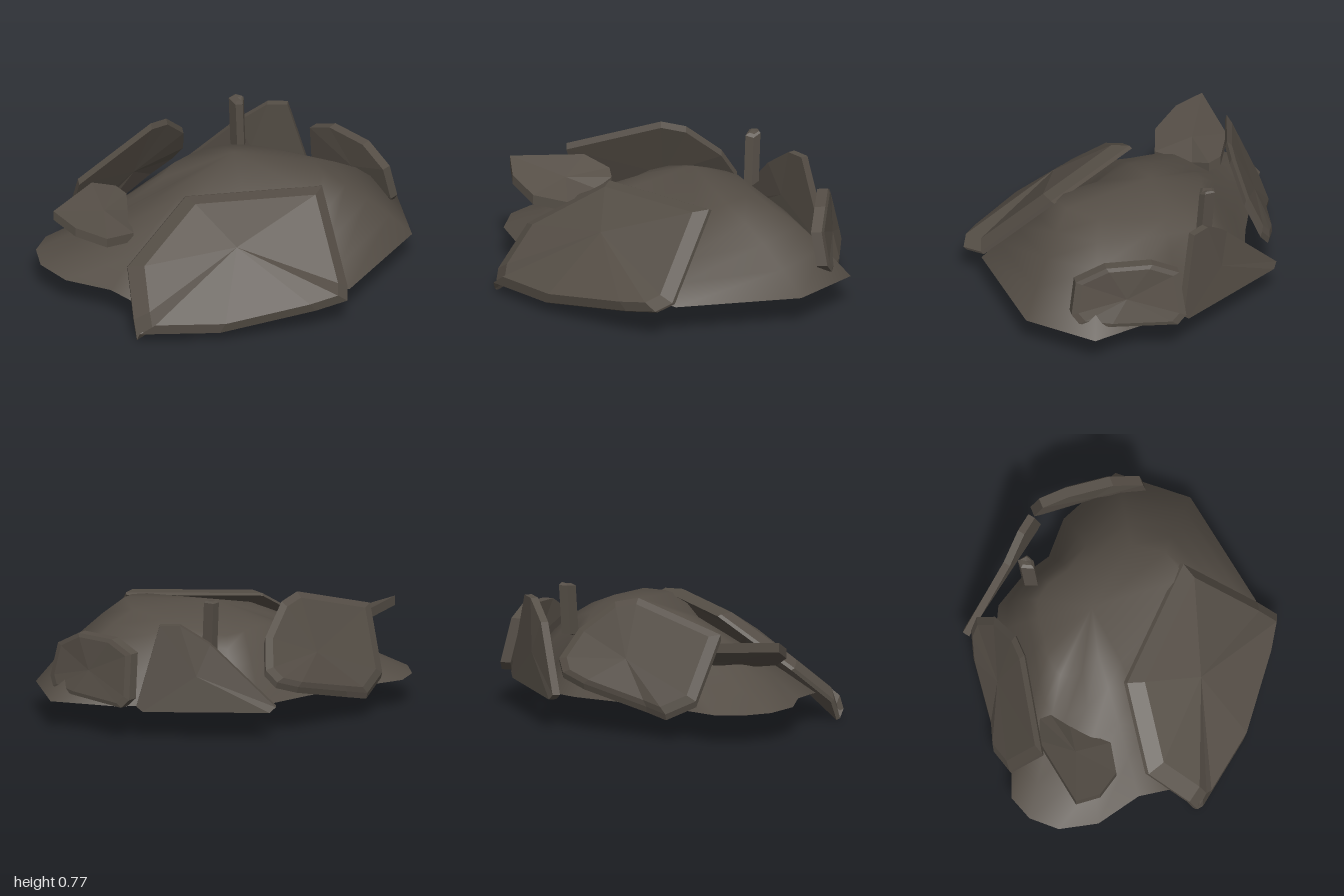
import * as THREE from 'three';

const stone = new THREE.MeshStandardMaterial({ color: 0x554e46, side: THREE.DoubleSide });
stone.name = 'dark brown stone';

const V = (p) => new THREE.Vector3(...p);

// Average of a list of points
const centre = (pts) => pts.reduce((a, p) => a.add(p), new THREE.Vector3()).divideScalar(pts.length);

// Broken slab: a rim outline, a raised inset face and a back shifted by depth
function slab(name, outline, depth, lift, inset = 0.12, mid = centre(outline.map(V))) {
  const rim = outline.map(V);
  const n = rim.length;
  const up = V(lift), down = V(depth);
  const face = rim.map((p) => p.clone().lerp(mid, inset).add(up));
  const back = rim.map((p) => p.clone().add(down));
  const faceMid = mid.clone().add(up), backMid = mid.clone().add(down);
  const tris = [];
  for (let i = 0; i < n; i++) {
    const j = (i + 1) % n;
    tris.push(faceMid, face[i], face[j]);
    tris.push(face[i], rim[i], rim[j], face[i], rim[j], face[j]);
    tris.push(rim[i], back[i], back[j], rim[i], back[j], rim[j]);
    tris.push(backMid, back[j], back[i]);
  }
  const geo = new THREE.BufferGeometry().setFromPoints(tris);
  geo.computeVertexNormals();
  const mesh = new THREE.Mesh(geo, stone);
  mesh.name = name;
  return mesh;
}

// Hollow mound: each row is base x, base z, shoulder x, y, z and mid-slope bulge
function mound() {
  const base = 0.165;
  const rows = [
    [1, 0.35, 0.42, 0.6, 0.22, 0.07], [0.71, 0.69, 0.3, 0.62, 0.38, 0.04],
    [0, 0.81, 0.12, 0.6, 0.44, 0], [-0.42, 0.4, -0.08, 0.54, 0.12, -0.02],
    [-0.88, -0.03, -0.2, 0.56, -0.08, 0.01], [-0.85, -0.23, -0.12, 0.6, -0.19, 0.04],
    [-0.92, -0.5, -0.16, 0.54, -0.3, 0.03], [-0.87, -0.72, -0.16, 0.51, -0.38, -0.01],
    [-0.75, -0.85, -0.13, 0.51, -0.42, -0.03], [-0.6, -0.9, -0.1, 0.52, -0.44, -0.02],
    [-0.4, -0.82, 0, 0.54, -0.45, 0], [0, -0.7, 0.1, 0.55, -0.43, 0.02],
    [0.34, -0.63, 0.22, 0.54, -0.42, 0.03], [0.5, -0.55, 0.33, 0.53, -0.38, 0.04],
    [0.62, -0.35, 0.39, 0.54, -0.29, 0.05], [0.67, -0.18, 0.42, 0.56, -0.16, 0.05],
    [0.85, -0.02, 0.43, 0.58, 0, 0.06],
  ];
  const n = rows.length, steps = 4;
  const pos = [], index = [];
  for (let s = 0; s <= steps; s++) {
    const t = s / steps;
    for (const [bx, bz, sx, sy, sz, bulge] of rows) {
      pos.push(bx + (sx - bx) * t,
        base + (sy - base) * t + bulge * Math.sin(Math.PI * t),
        bz + (sz - bz) * t);
    }
  }
  pos.push(0.13, 0.66, -0.13);
  const apex = n * (steps + 1);
  for (let i = 0; i < n; i++) {
    const j = (i + 1) % n;
    for (let s = 0; s < steps; s++) {
      const a = s * n + i, b = s * n + j;
      index.push(a, a + n, b, b, a + n, b + n);
    }
    index.push(steps * n + i, apex, steps * n + j);
  }
  const geo = new THREE.BufferGeometry();
  geo.setAttribute('position', new THREE.Float32BufferAttribute(pos, 3));
  geo.setIndex(index);
  geo.computeVertexNormals();
  const mesh = new THREE.Mesh(geo, stone);
  mesh.name = 'mound';
  return mesh;
}

export function createModel() {
  const model = new THREE.Group();
  model.name = 'rubbleMound';
  model.add(mound());

  // Large slab sloping down to the front, with a wide bevel and a crowned face
  model.add(slab('frontSlab', [
    [-1, 0.06, 0.1], [-0.99, 0.01, 0.07], [-0.97, 0.12, 0.03], [-0.8, 0.32, -0.15],
    [-0.34, 0.59, -0.1], [0.2, 0.615, 0.45], [-0.02, 0.19, 0.81], [-0.12, 0.17, 0.89],
    [-0.28, 0.14, 0.79], [-0.72, 0.07, 0.45],
  ], [0.015, -0.01, -0.015], [-0.025, 0.018, 0.05], 0.12, V([-0.38, 0.42, 0.27])));

  // Upright slab on the left side, leaning inwards
  const side = [[0.46, 0.27], [0.43, 0.46], [0.26, 0.55], [0, 0.56], [-0.15, 0.5],
    [-0.18, 0.25], [-0.13, 0.2], [0.25, 0.21], [0.42, 0.22]];
  model.add(slab('sideSlab',
    side.map(([z, y]) => [0.965 - 0.22 * (y - 0.2) - 0.4 * Math.max(0, z) ** 2, y, z]),
    [-0.06, 0, 0], [0.008, 0.003, 0]));

  // Thin pointed slab standing behind on the left
  model.add(slab('pointedSlab', [
    [0.89, 0.2, -0.18], [0.78, 0.66, -0.26], [0.71, 0.66, -0.35], [0.6, 0.55, -0.48],
    [0.41, 0.2, -0.8], [0.44, 0.17, -0.78], [0.87, 0.17, -0.21],
  ], [-0.035, 0, 0.025], [0, 0, 0]));

  // Broad slab leaning against the back
  model.add(slab('backSlab', [
    [-0.56, 0.59, -0.7], [-0.03, 0.75, -0.6], [0.11, 0.72, -0.6], [0.31, 0.56, -0.645],
    [0.4, 0.4, -0.72], [0.36, 0.33, -0.77], [0.22, 0.28, -0.81], [-0.17, 0.18, -0.85],
    [-0.3, 0.15, -0.89], [-0.47, 0.23, -0.86],
  ], [0, -0.035, 0.01], [0, 0.008, -0.012]));

  // Flat slab jutting out of the right side
  model.add(slab('juttingSlab', [
    [-0.88, 0.55, -0.62], [-0.46, 0.53, -0.68], [-0.32, 0.47, -0.62], [-0.31, 0.44, -0.55],
    [-0.4, 0.4, -0.47], [-0.57, 0.39, -0.29], [-0.76, 0.42, -0.33], [-0.87, 0.49, -0.47],
  ], [0, -0.055, 0], [0, 0, 0]));

  // Small standing post with a chipped top
  model.add(slab('post', [
    [0.435, 0.75, -0.36], [0.46, 0.76, -0.43], [0.51, 0.76, -0.43],
    [0.52, 0.76, -0.37], [0.48, 0.74, -0.345],
  ], [-0.01, -0.28, 0.02], [0.005, 0.012, 0], 0.35));

  return model;
}
